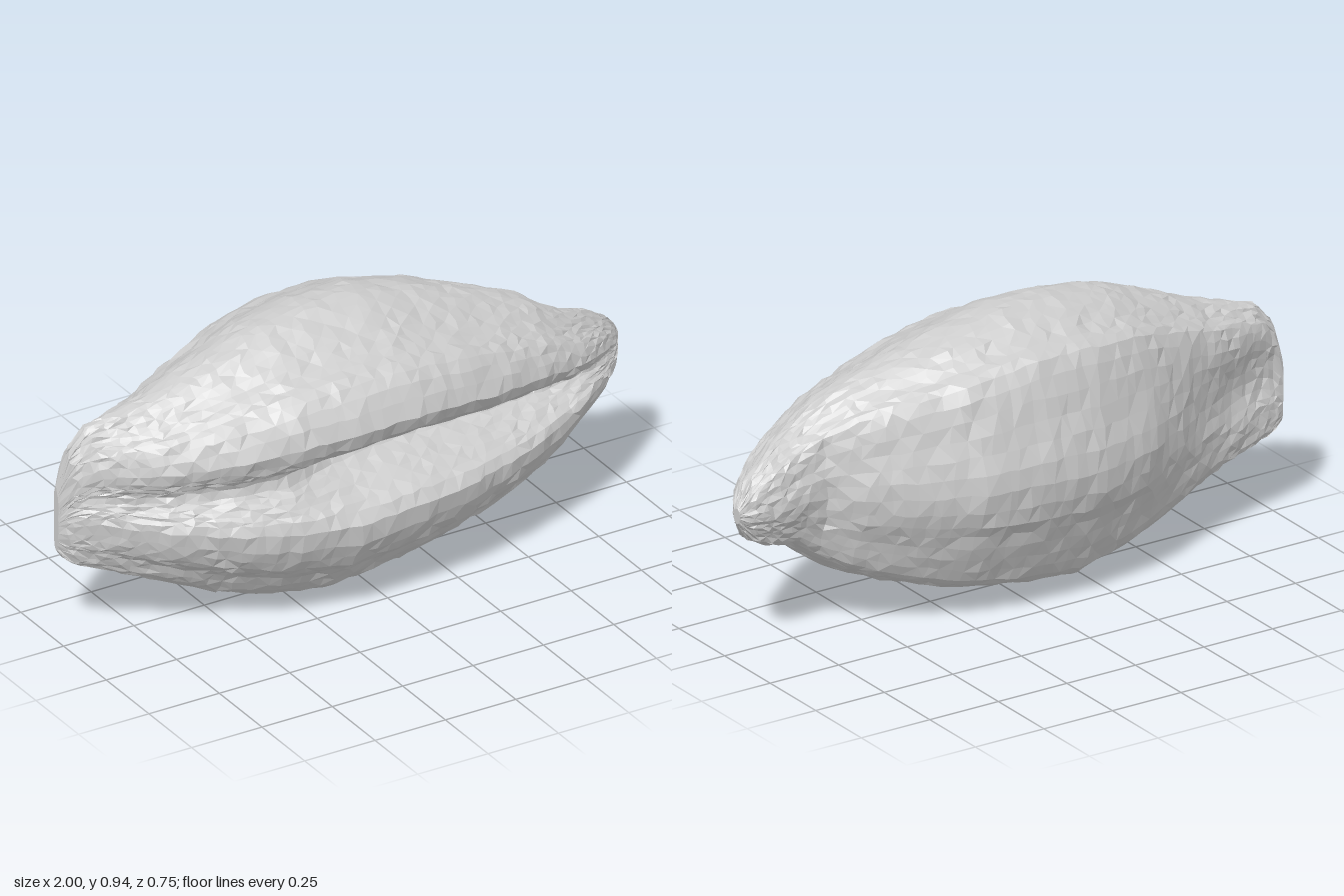
import * as THREE from 'three';

// Stations along the length: x, bottom, top, front z, back z, groove depth, back dent
const STATIONS = [
  [-1.0, 0.31, 0.53, -0.03, -0.06, 0.1, 0.2],
  [-0.97, 0.27, 0.65, 0.01, -0.075, 0.25, 0.6],
  [-0.91, 0.245, 0.72, 0.06, -0.1, 0.35, 0.6],
  [-0.72, 0.175, 0.77, 0.19, -0.175, 0.45, 0.3],
  [-0.52, 0.09, 0.85, 0.285, -0.255, 0.45, 0.1],
  [-0.35, 0.035, 0.91, 0.34, -0.32, 0.5, 0],
  [-0.15, 0.0, 0.94, 0.365, -0.37, 0.9, 0],
  [0.05, 0.02, 0.94, 0.365, -0.375, 1, 0],
  [0.25, 0.055, 0.895, 0.34, -0.345, 1, 0],
  [0.45, 0.115, 0.83, 0.29, -0.25, 1, 0],
  [0.6, 0.18, 0.775, 0.24, -0.17, 1, 0],
  [0.68, 0.235, 0.72, 0.21, -0.11, 0.95, 0.1],
  [0.76, 0.3, 0.675, 0.175, -0.1, 0.8, 0],
  [0.86, 0.335, 0.63, 0.105, -0.105, 0.4, 0],
  [0.95, 0.385, 0.57, 0.03, -0.1, 0.1, 0],
  [1.0, 0.46, 0.51, -0.05, -0.085, 0, 0],
];

// Unit section, top -> front -> bottom -> back: z, height
const SECTION = [
  [0, 1], [0.22, 0.97], [0.42, 0.92], [0.58, 0.885], [0.79, 0.85], [0.94, 0.77],
  [1, 0.7], [0.93, 0.645], [0.74, 0.6], [0.38, 0.545], [0.4, 0.52], [0.62, 0.475],
  [0.85, 0.425], [0.98, 0.385], [0.99, 0.33], [0.92, 0.255], [0.8, 0.185],
  [0.63, 0.14], [0.46, 0.055], [0.32, 0.015], [0.1, 0], [-0.2, 0.025], [-0.48, 0.065],
  [-0.6, 0.1], [-0.72, 0.19], [-0.83, 0.29], [-0.95, 0.39], [-1, 0.52],
  [-0.9, 0.69], [-0.82, 0.81], [-0.73, 0.89], [-0.54, 0.925], [-0.27, 0.985],
];

const RINGS = 64, SIDES = 72;

// Small seeded noise for the chipped surface
let seed = 7;
const jitter = (amount) => {
  seed = (seed * 16807) % 2147483647;
  return (seed / 2147483647 - 0.5) * 2 * amount;
};

function stationAt(x) {
  let k = 0;
  while (k < STATIONS.length - 2 && x > STATIONS[k + 1][0]) k++;
  const a = STATIONS[k], b = STATIONS[k + 1];
  const t = (x - a[0]) / (b[0] - a[0]);
  return a.map((v, i) => THREE.MathUtils.lerp(v, b[i], t));
}

function createBodyGeometry() {
  const outline = new THREE.CatmullRomCurve3(
    SECTION.map(([z, h]) => new THREE.Vector3(0, h, z)), true, 'centripetal'
  ).getSpacedPoints(SIDES).slice(0, SIDES);
  const positions = [], index = [];

  for (let i = 0; i <= RINGS; i++) {
    // Rings gather towards both tips
    const u = (i / RINGS) * 2 - 1;
    const ringX = u * (1.25 - 0.25 * u * u);
    const inside = i > 0 && i < RINGS ? 1 : 0;
    for (const p of outline) {
      const x = THREE.MathUtils.clamp(ringX + inside * jitter(0.009), -1, 1);
      const [, low, high, front, back, groove, dent] = stationAt(x);
      let w = p.z;
      // Fill the groove where it is shallow
      if (w > 0 && p.y > 0.385 && p.y < 0.7) w = THREE.MathUtils.lerp(0.97, w, groove);
      // Hollow in the back of the blunt end
      if (w < 0) w += dent * Math.exp(-(((p.y - 0.5) / 0.2) ** 2));
      const depth = (front - back) / 2;
      positions.push(
        x,
        low + p.y * (high - low) + inside * jitter(0.004),
        (front + back) / 2 + w * depth + inside * jitter(0.005)
      );
    }
  }

  for (let i = 0; i < RINGS; i++) {
    for (let j = 0; j < SIDES; j++) {
      const n = (j + 1) % SIDES;
      const a = i * SIDES + j, c = i * SIDES + n;
      const b = a + SIDES, d = c + SIDES;
      if ((i + j) % 2) index.push(a, c, b, b, c, d);
      else index.push(a, d, b, a, c, d);
    }
  }

  // Close both tips
  [0, RINGS].forEach((ring) => {
    const [x, low, high, front, back] = STATIONS[ring ? STATIONS.length - 1 : 0];
    const centre = positions.length / 3;
    positions.push(x, (low + high) / 2, (front + back) / 2);
    for (let j = 0; j < SIDES; j++) {
      const a = ring * SIDES + j, b = ring * SIDES + ((j + 1) % SIDES);
      if (ring) index.push(centre, a, b);
      else index.push(centre, b, a);
    }
  });

  const geometry = new THREE.BufferGeometry();
  geometry.setAttribute('position', new THREE.Float32BufferAttribute(positions, 3));
  geometry.setIndex(index);
  geometry.computeVertexNormals();
  return geometry;
}

export function createModel() {
  const group = new THREE.Group();
  group.name = 'groovedPod';
  const material = new THREE.MeshStandardMaterial({ color: 0xcccccc, flatShading: true });
  const body = new THREE.Mesh(createBodyGeometry(), material);
  body.name = 'podBody';
  group.add(body);
  return group;
}
